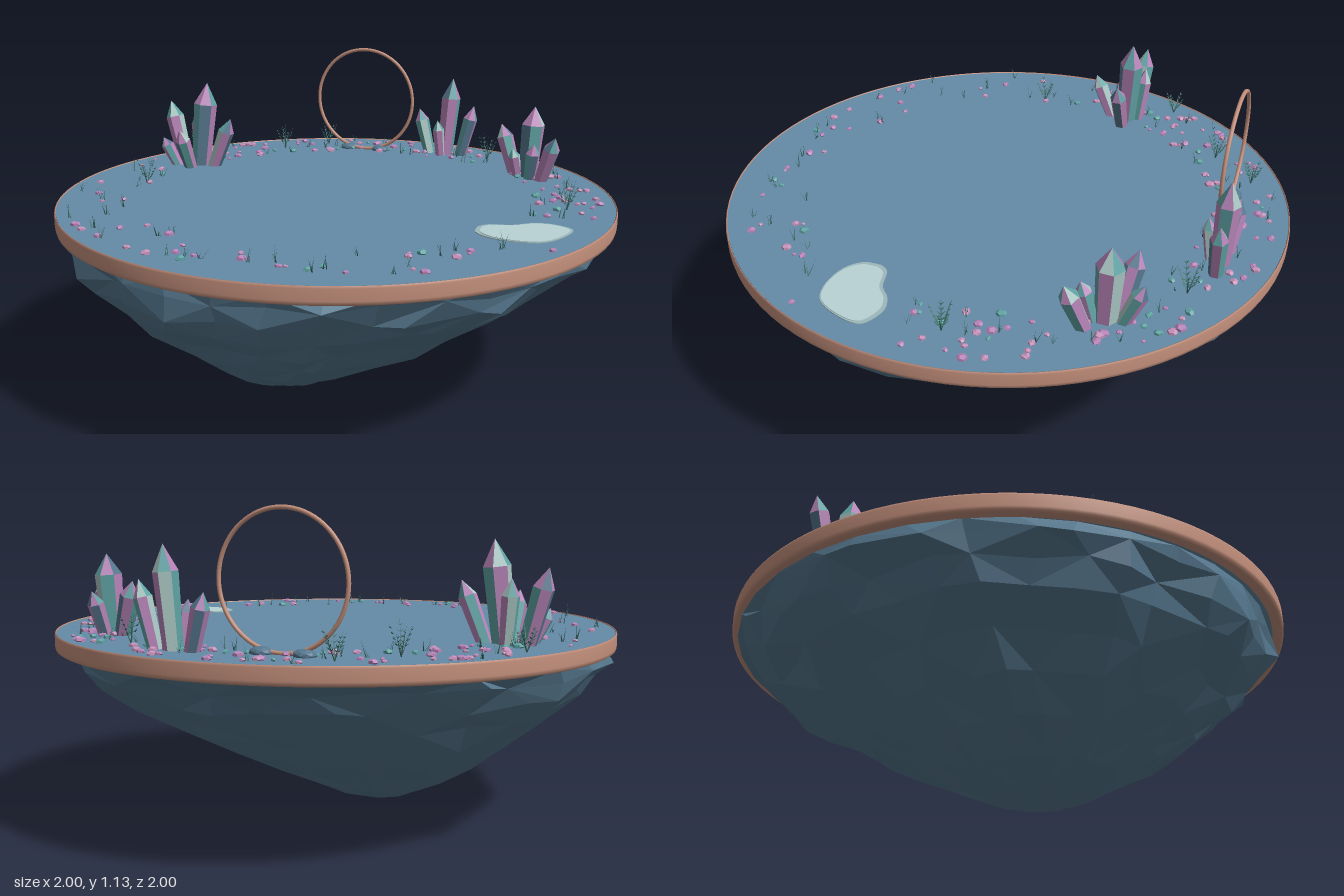
import * as THREE from 'three';
import { mergeGeometries } from 'three/addons/utils/BufferGeometryUtils.js';

const GROUND = 0.687;
let seed = 11;
const rand = () => {
  seed = (seed * 1664525 + 1013904223) % 4294967296;
  return seed / 4294967296;
};
const range = (a, b) => a + (b - a) * rand();
const V = (x, y, z) => new THREE.Vector3(x, y, z);

function material(name, color, options = {}) {
  const m = new THREE.MeshStandardMaterial({ color, ...options });
  m.name = name;
  return m;
}

function mesh(name, geometry, mat, parent) {
  const m = new THREE.Mesh(geometry, mat);
  m.name = name;
  parent.add(m);
  return m;
}

// Faceted rock: jittered rings whose centres drift toward an off-centre tip
function rockGeometry() {
  const rows = [[0.635, 0.968], [0.59, 0.965], [0.52, 0.905], [0.45, 0.825], [0.36, 0.7],
    [0.27, 0.565], [0.18, 0.415], [0.1, 0.275], [0.05, 0.16], [0.0, 0.004]];
  const n = 36, points = [], index = [];
  rows.forEach(([y, r], i) => {
    const t = i / (rows.length - 1), drift = Math.min(1, (0.635 - y) / 0.5);
    const loose = i > 0 && i < rows.length - 1 ? 1 : 0;
    for (let j = 0; j < n; j++) {
      const a = ((j + loose * range(-0.3, 0.3)) / n) * Math.PI * 2;
      const ridge = Math.sin(a * 5 + 1) * 0.03 + Math.sin(a * 11 + t * 3) * 0.04;
      const k = r * (1 + loose * (ridge * (0.15 + t) + range(-0.045, 0.02)));
      points.push(-0.105 * drift + Math.cos(a) * k, y + loose * range(-0.018, 0.018) * (1 - t),
        0.165 * drift - 0.022 * (1 - drift) + Math.sin(a) * k);
    }
  });
  for (let i = 0; i < rows.length - 1; i++) {
    for (let j = 0; j < n; j++) {
      const a = i * n + j, b = i * n + (j + 1) % n, c = a + n, d = b + n;
      if ((i + j) % 2) index.push(a, b, c, b, d, c);
      else index.push(a, b, d, a, d, c);
    }
  }
  const g = new THREE.BufferGeometry();
  g.setAttribute('position', new THREE.Float32BufferAttribute(points, 3));
  g.setIndex(index);
  const flat = g.toNonIndexed();
  flat.computeVertexNormals();
  return flat;
}

// Six-sided crystal leaning from base to tip, one colour per face
function crystal(base, tip, radius, mats, shift) {
  const group = new THREE.Group();
  group.name = 'crystal';
  const height = base.distanceTo(tip), body = height * 0.75;
  const shaft = new THREE.CylinderGeometry(radius, radius * 0.8, body, 6, 1, true);
  shaft.translate(0, body / 2, 0);
  const point = new THREE.ConeGeometry(radius, height - body, 6, 1, true);
  point.translate(0, (height + body) / 2, 0);
  [[shaft, 6, 'crystalShaft', 0], [point, 3, 'crystalPoint', 1]].forEach(([g, count, name, turn]) => {
    g.clearGroups();
    for (let s = 0; s < 6; s++) g.addGroup(s * count, count, (s + shift + turn) % mats.length);
    mesh(name, g, mats, group);
  });
  group.position.copy(base);
  group.quaternion.setFromUnitVectors(V(0, 1, 0), tip.clone().sub(base).normalize());
  return group;
}

// Thin triangular blade
function blade(list, base, tip, width) {
  const side = V(tip.z - base.z, 0, base.x - tip.x);
  if (side.length() < 0.001) side.set(1, 0, 0);
  side.setLength(width / 2);
  list.push(new THREE.BufferGeometry().setFromPoints([base.clone().sub(side), base.clone().add(side), tip]));
}

// Fern: leaning stems with paired leaflets
function fern(list, x, z, height) {
  for (let s = 0; s < 5; s++) {
    const a = (s / 5) * Math.PI * 2 + range(-0.3, 0.3);
    const base = V(x, GROUND, z), h = height * range(0.6, 1);
    const tip = V(x + Math.cos(a) * 0.04, GROUND + h, z + Math.sin(a) * 0.04);
    blade(list, base, tip, 0.005);
    for (let k = 2; k < 6; k++) {
      const p = base.clone().lerp(tip, k / 6.5), len = 0.024 * (1 - k / 9);
      for (const sgn of [-1, 1]) {
        const b = a + sgn * 1.1;
        blade(list, p, V(p.x + Math.cos(b) * len, p.y + len * 0.6, p.z + Math.sin(b) * len), 0.008);
      }
    }
  }
}

function merged(list) {
  const g = mergeGeometries(list);
  g.computeVertexNormals();
  return g;
}

// Flat blob plate, scaled about a point in the pond
function pondPlate(scale, depth, x0, z0) {
  const outline = [[-0.15, 0], [-0.125, -0.035], [-0.05, -0.058], [0, -0.1], [0.06, -0.118],
    [0.13, -0.095], [0.148, -0.055], [0.125, 0.03], [0.08, 0.095], [0, 0.118], [-0.09, 0.105], [-0.143, 0.06]];
  const curve = new THREE.SplineCurve([...outline, outline[0]]
    .map(([x, z]) => new THREE.Vector2(x * scale, -z * scale)));
  const g = new THREE.ExtrudeGeometry(new THREE.Shape(curve.getPoints(48)), { depth, bevelEnabled: false });
  return g.rotateX(-Math.PI / 2).translate(x0, GROUND, z0);
}

export function createModel() {
  const root = new THREE.Group();
  root.name = 'floatingIsland';
  const flat = { flatShading: true };
  const slate = material('slateBlue', 0x648ba8, flat);
  const rock = material('rockBlue', 0x56788f, flat);
  const copper = material('copper', 0xc4907c);
  const mauve = material('mauve', 0xb885b9, flat);
  const teal = material('teal', 0x60a3a4, flat);
  const pale = material('paleCrystal', 0xabc8c4, flat);
  const pink = material('pebblePink', 0xc792bb, flat);
  const green = material('fernGreen', 0x3c6c66, { side: THREE.DoubleSide });
  const water = material('paleWater', 0xb9d3d5);
  const bank = material('pondBank', 0x9db8bc);

  // Island body
  mesh('rockUnderside', rockGeometry(), rock, root);
  mesh('ground', new THREE.CylinderGeometry(0.994, 0.98, 0.052, 96), slate, root).position.y = GROUND - 0.026;
  const rimProfile = [[0.96, 0.632], [0.99, 0.629], [0.998, 0.634], [1, 0.645], [1, 0.683], [0.998, 0.69],
    [0.996, 0.69], [0.994, 0.684]].map(([x, y]) => new THREE.Vector2(x, y));
  mesh('copperRim', new THREE.LatheGeometry(rimProfile, 96), copper, root);

  // Standing hoop with two footing stones
  mesh('hoop', new THREE.TorusGeometry(0.214, 0.007, 10, 72), copper, root).position.set(-0.18, 0.905, -0.765);
  for (const x of [-0.255, -0.11]) {
    const stone = mesh('hoopStone', new THREE.IcosahedronGeometry(0.038, 1), rock, root);
    stone.scale.set(1, 0.5, 0.85);
    stone.position.set(x, GROUND + 0.005, -0.768);
  }

  // Pond
  mesh('pondBank', pondPlate(1, 0.003, 0.74, 0.21), bank, root);
  mesh('pondWater', pondPlate(0.92, 0.005, 0.744, 0.214), water, root);

  // Crystal clusters: base x, z, tip x, y, z, radius
  const palette = [mauve, rock, mauve, teal, mauve, pale, teal];
  const clusters = [
    [[-0.7, -0.24, -0.67, 1.02, -0.26, 0.046], [-0.78, -0.26, -0.85, 0.935, -0.275, 0.036],
      [-0.64, -0.24, -0.555, 0.885, -0.235, 0.032], [-0.71, -0.18, -0.715, 0.85, -0.105, 0.03],
      [-0.78, -0.2, -0.835, 0.8, -0.18, 0.025], [-0.72, -0.28, -0.74, 0.9, -0.3, 0.03]],
    [[0.17, -0.81, 0.195, 1.01, -0.82, 0.04], [0.1, -0.82, 0.045, 0.87, -0.835, 0.03],
      [0.235, -0.81, 0.29, 0.9, -0.815, 0.03], [0.16, -0.78, 0.15, 0.84, -0.755, 0.024]],
    [[0.585, -0.55, 0.6, 0.96, -0.56, 0.046], [0.53, -0.58, 0.46, 0.875, -0.61, 0.033],
      [0.645, -0.5, 0.705, 0.865, -0.45, 0.033], [0.58, -0.6, 0.585, 0.84, -0.665, 0.028],
      [0.6, -0.51, 0.62, 0.83, -0.475, 0.028], [0.55, -0.54, 0.53, 0.8, -0.51, 0.024]],
  ];
  clusters.forEach((list, c) => {
    const cluster = new THREE.Group();
    cluster.name = 'crystalCluster';
    list.forEach(([bx, bz, tx, ty, tz, r], i) => {
      cluster.add(crystal(V(bx, GROUND - 0.01, bz), V(tx, ty, tz), r, palette, 1 + c + i * 3));
    });
    root.add(cluster);
  });

  // Ferns and grass around the edge
  const ferns = [], grass = [];
  for (const [x, z, h] of [[-0.51, -0.65, 0.12], [-0.37, -0.81, 0.12], [-0.82, -0.41, 0.11], [-0.73, 0.12, 0.12],
    [0.37, -0.75, 0.13], [0.82, -0.11, 0.12]]) fern(ferns, x, z, h);
  const onEdge = (a) => {
    const r = range(0.72, 0.95);
    return [Math.cos(a) * r, Math.sin(a) * r];
  };
  const inPond = (x, z) => Math.hypot(x - 0.74, z - 0.21) < 0.18;
  for (let i = 0; i < 60; i++) {
    const [x, z] = onEdge((i + rand()) / 60 * Math.PI * 2);
    if (inPond(x, z)) continue;
    for (let k = 0; k < 4; k++) {
      blade(grass, V(x + range(-0.01, 0.01), GROUND, z),
        V(x + range(-0.02, 0.02), GROUND + range(0.02, 0.055), z + range(-0.02, 0.02)), 0.004);
    }
  }
  mesh('ferns', merged(ferns), green, root);
  mesh('grassTufts', merged(grass), green, root);

  // Scattered pebbles, denser toward the back
  const pebbles = [[], [], []];
  for (let i = 0; i < 160; i++) {
    const a = i < 65 ? range(Math.PI * 1.05, Math.PI * 1.95) : range(0, Math.PI * 2);
    const [x, z] = onEdge(a);
    if (inPond(x, z)) continue;
    const g = new THREE.DodecahedronGeometry(range(0.008, 0.019), 0);
    g.scale(1, 0.6, range(0.7, 1)).rotateY(range(0, 6)).translate(x, GROUND + 0.004, z);
    pebbles[[0, 1, 0, 2, 1][i % 5]].push(g);
  }
  [['pinkPebbles', pink], ['mauvePebbles', mauve], ['tealPebbles', teal]]
    .forEach(([name, mat], i) => mesh(name, merged(pebbles[i]), mat, root));

  return root;
}
